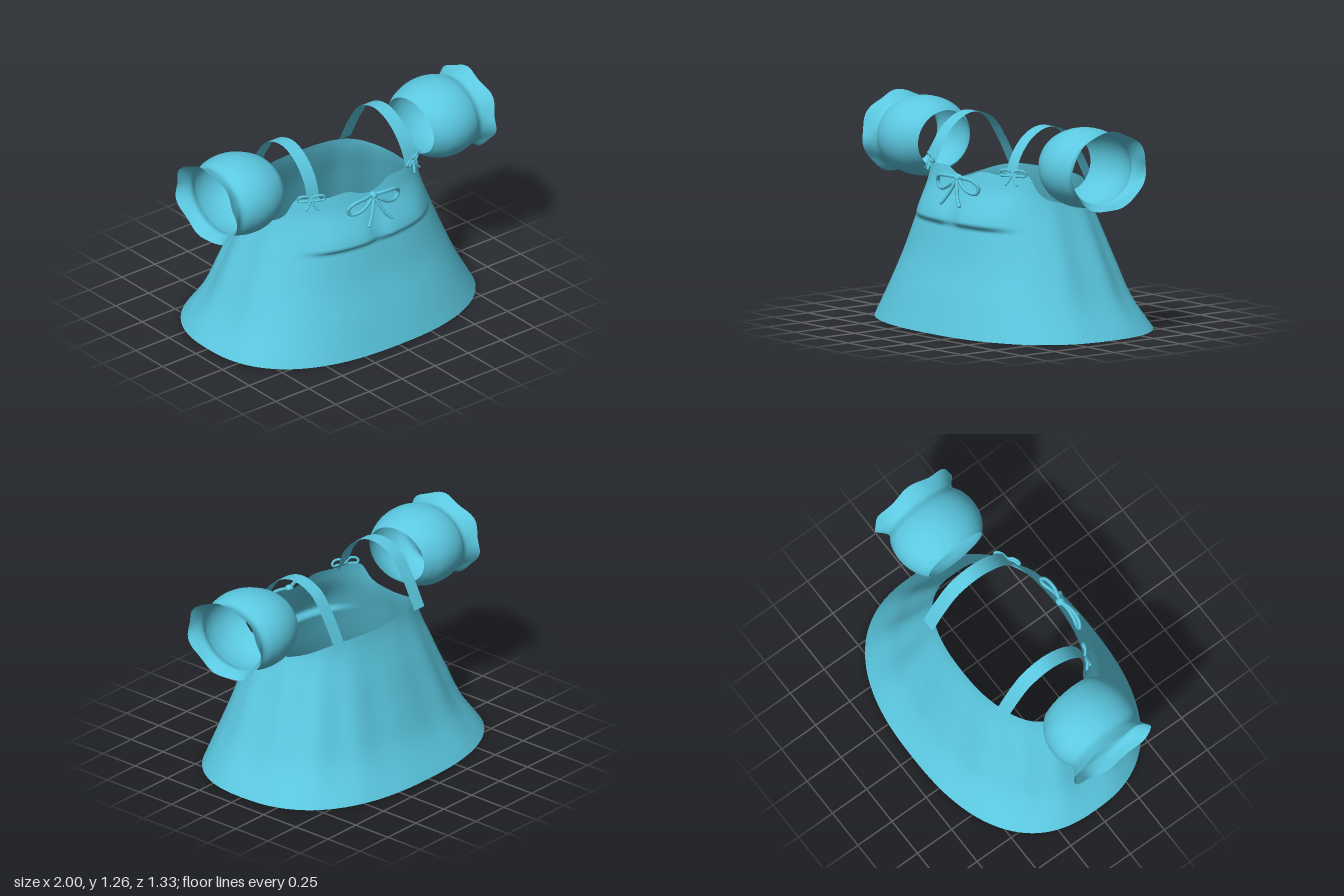
import * as THREE from 'three';

const fabric = new THREE.MeshStandardMaterial({ color: 0x5bc8e0, side: THREE.DoubleSide });

// Smooth piecewise interpolation through [key, value] pairs
function sample(table, k) {
  if (k <= table[0][0]) return table[0][1];
  for (let i = 1; i < table.length; i++) {
    const [k1, v1] = table[i], [k0, v0] = table[i - 1];
    if (k <= k1) {
      const m = (a, b) => (b[1] - a[1]) / (b[0] - a[0]);
      const s0 = i > 1 ? m(table[i - 2], table[i]) : m(table[0], table[1]);
      const s1 = i < table.length - 1 ? m(table[i - 1], table[i + 1]) : m(table[i - 1], table[i]);
      const h = k1 - k0, t = (k - k0) / h, u = 1 - t;
      return v0 * u * u * (1 + 2 * t) + v1 * t * t * (1 + 2 * u) + h * (s0 * t * u * u - s1 * t * t * u);
    }
  }
  return table[table.length - 1][1];
}

// Skin of rings; point(v, angle) gives each vertex
function loft(name, rows, cols, point) {
  const pos = [], index = [];
  for (let i = 0; i <= rows; i++)
    for (let j = 0; j < cols; j++) pos.push(...point(i / rows, (j / cols) * Math.PI * 2));
  for (let i = 0; i < rows; i++)
    for (let j = 0; j < cols; j++) {
      const a = i * cols + j, b = i * cols + (j + 1) % cols;
      index.push(a, b, b + cols, a, b + cols, a + cols);
    }
  const g = new THREE.BufferGeometry();
  g.setAttribute('position', new THREE.Float32BufferAttribute(pos, 3));
  g.setIndex(index);
  g.computeVertexNormals();
  return named(name, g);
}

function named(name, geometry) {
  const mesh = new THREE.Mesh(geometry, fabric);
  mesh.name = name;
  return mesh;
}

// Dress outline by height, and neckline height by angle from the front (degrees)
const halfWidth = [[0, 0.91], [0.2, 0.79], [0.4, 0.7], [0.6, 0.615], [0.8, 0.54], [0.95, 0.525]];
const frontZ = [[0, 0.665], [0.2, 0.6], [0.4, 0.53], [0.6, 0.478], [0.7, 0.45], [0.8, 0.42], [0.95, 0.375]];
const backZ = [[0, -0.665], [0.2, -0.54], [0.4, -0.46], [0.6, -0.39], [0.8, -0.32], [0.95, -0.285]];
const rim = [[0, 0.905], [5, 0.92], [13, 0.948], [30, 0.942], [50, 0.952], [57, 0.94], [67, 0.85], [78, 0.8], [92, 0.785],
  [115, 0.82], [135, 0.86], [150, 0.878], [180, 0.88]];

function dressPoint(v, angle) {
  const deg = THREE.MathUtils.radToDeg(angle > Math.PI ? Math.PI * 2 - angle : angle);
  const y = v < 0.7 ? (v / 0.7) * 0.66 : 0.66 + ((v - 0.7) / 0.3) * (sample(rim, deg) - 0.66);
  const s = Math.sin(angle), c = Math.cos(angle);
  const power = (n) => Math.sign(n) * Math.abs(n) ** 0.82;
  const zf = sample(frontZ, y), zb = sample(backZ, y), mid = (zf + zb) / 2;
  // Soft folds around the sides and back
  const fold = 1 + 0.012 * Math.cos(14 * angle) * Math.sin(Math.PI * Math.min(1, y / 0.85))
    * THREE.MathUtils.smoothstep(deg, 50, 90);
  const x = sample(halfWidth, y) * power(s) * fold;
  let z = mid + ((zf - zb) / 2) * power(c) * fold;
  // Gathered bust with a seam underneath and a dip in the middle
  if (c > 0) {
    const ax = Math.abs(x);
    const up = THREE.MathUtils.smoothstep(y, 0.61, 0.65) * (1 - THREE.MathUtils.smoothstep(y, 0.66, 0.88));
    const across = (0.35 + 0.65 * THREE.MathUtils.smoothstep(ax, 0, 0.1)) * (1 - THREE.MathUtils.smoothstep(ax, 0.3, 0.54));
    z += 0.036 * up * across;
  }
  return [x, y, z];
}

// Puff sleeve: [position along x, vertical radius]
const puff = [[0.565, 0.172], [0.6, 0.197], [0.68, 0.228], [0.77, 0.236], [0.85, 0.222], [0.9, 0.199], [0.94, 0.21], [0.99, 0.238]];

function sleeve(side) {
  return loft(side > 0 ? 'leftSleeve' : 'rightSleeve', 36, 72, (v, angle) => {
    const x = 0.565 + v * 0.425;
    const frill = THREE.MathUtils.smoothstep(x, 0.91, 0.99), opening = 1 - THREE.MathUtils.smoothstep(x, 0.565, 0.7);
    const r = sample(puff, x) * (1 + 0.025 * frill * Math.cos(7 * angle));
    const c = Math.cos(angle), s = Math.sin(angle);
    return [
      side * (x - 0.01 * opening * (c - s) + frill * (0.009 * c + 0.008 * Math.cos(6 * angle + 0.6) - 0.006)),
      1.02 + r * c,
      0.073 + side * s * r * 1.18,
    ];
  });
}

// Flat shoulder strap swept along an arch
function strap(side) {
  const path = new THREE.CatmullRomCurve3([
    [0.37, 0.93, 0.325], [0.362, 1.06, 0.275], [0.357, 1.17, 0.175], [0.355, 1.215, 0.05],
    [0.355, 1.17, -0.09], [0.355, 1.04, -0.19], [0.355, 0.86, -0.285],
  ].map((p) => new THREE.Vector3(...p)));
  const g = new THREE.PlaneGeometry(1, 1, 1, 36), p = g.attributes.position;
  for (let i = 0; i < p.count; i++) {
    const q = path.getPoint(0.5 - p.getY(i));
    p.setXYZ(i, side * q.x + p.getX(i) * 0.09, q.y, q.z);
  }
  // Top of the arch faces up, so the front end comes last in the winding
  g.index.array.reverse();
  g.computeVertexNormals();
  return named(side > 0 ? 'leftStrap' : 'rightStrap', g);
}

function cord(name, points, closed, radius) {
  const curve = new THREE.CatmullRomCurve3(points.map((p) => new THREE.Vector3(...p)), closed);
  return named(name, new THREE.TubeGeometry(curve, 40, radius, 8, closed));
}

// Ribbon bow around its knot
function bow(name, thick, lift) {
  const group = new THREE.Group();
  group.name = name;
  const knot = named('knot', new THREE.SphereGeometry(0.026, 16, 12));
  group.add(knot);
  for (const s of [-1, 1]) {
    group.add(cord('loop', [[0.01, 0, 0], [0.08, 0.01 + lift, 0.02], [0.16, lift, 0.015], [0.19, -0.035 + lift, 0],
      [0.17, -0.072 + lift, 0], [0.11, -0.068 + lift, 0.015], [0.05, -0.035, 0.015]].map(([x, y, z]) => [s * x, y, z]), true, thick));
    const end = s > 0 ? 0.088 : 0.08;
    const tail = [[0, 0, 0.01], [0.025, -0.06, 0.03], [0.055, -0.115, 0.05], [end, -0.15, 0.065]].map(([x, y, z]) => [s * x, y, z]);
    group.add(cord('tail', tail, false, thick));
    const tip = named('tailTip', new THREE.SphereGeometry(thick, 8, 6));
    tip.position.set(...tail[3]);
    group.add(tip);
  }
  return group;
}

export function createModel() {
  const model = new THREE.Group();
  model.name = 'dress';
  model.add(loft('gown', 80, 144, dressPoint));

  const chestBow = bow('chestBow', 0.011, 0);
  chestBow.position.set(0, 0.895, 0.42);
  model.add(chestBow);

  for (const side of [-1, 1]) {
    model.add(sleeve(side), strap(side));
    const small = bow(side > 0 ? 'leftStrapBow' : 'rightStrapBow', 0.018, 0.035);
    small.position.set(side * 0.382, 0.962, 0.315);
    small.rotation.y = side * 0.5;
    small.scale.setScalar(0.43);
    model.add(small);
  }
  return model;
}
